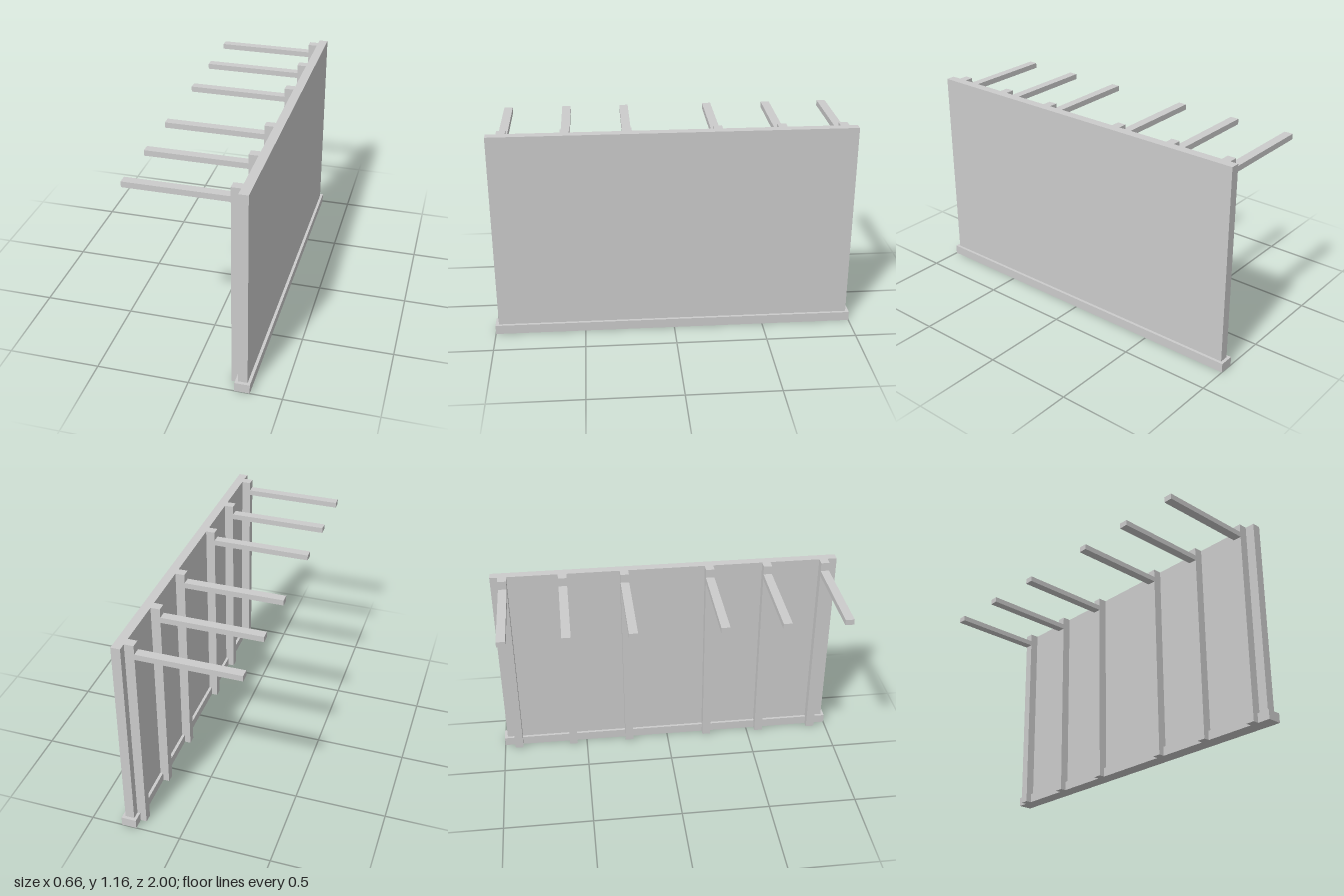
import * as THREE from 'three';

const material = new THREE.MeshStandardMaterial({ color: 0xcccccc, flatShading: true });

// Box given by its limits along each axis
function block(name, [x0, x1], [y0, y1], [z0, z1]) {
  const mesh = new THREE.Mesh(new THREE.BoxGeometry(x1 - x0, y1 - y0, z1 - z0), material);
  mesh.position.set((x0 + x1) / 2, (y0 + y1) / 2, (z0 + z1) / 2);
  mesh.name = name;
  return mesh;
}

export function createModel() {
  const group = new THREE.Group();
  group.name = 'wallWithBeams';
  const top = 1.157;

  // Wall panel standing in a wider plinth
  group.add(block('wallPanel', [0.263, 0.313], [0.01, top], [-0.982, 0.982]));
  group.add(block('plinth', [0.247, 0.329], [0, 0.052], [-1, 1]));

  // Posts on the inner side, each carrying a horizontal beam
  const half = 0.024;
  for (const z of [-0.914, -0.582, -0.237, 0.244, 0.573, 0.904]) {
    const frame = new THREE.Group();
    frame.name = 'frame';
    const depth = [z - half, z + half];
    frame.add(block('post', [0.213, 0.263], [0, top], depth));
    frame.add(block('beam', [-0.33, 0.213], [1.077, 1.108], depth));
    group.add(frame);
  }
  return group;
}
